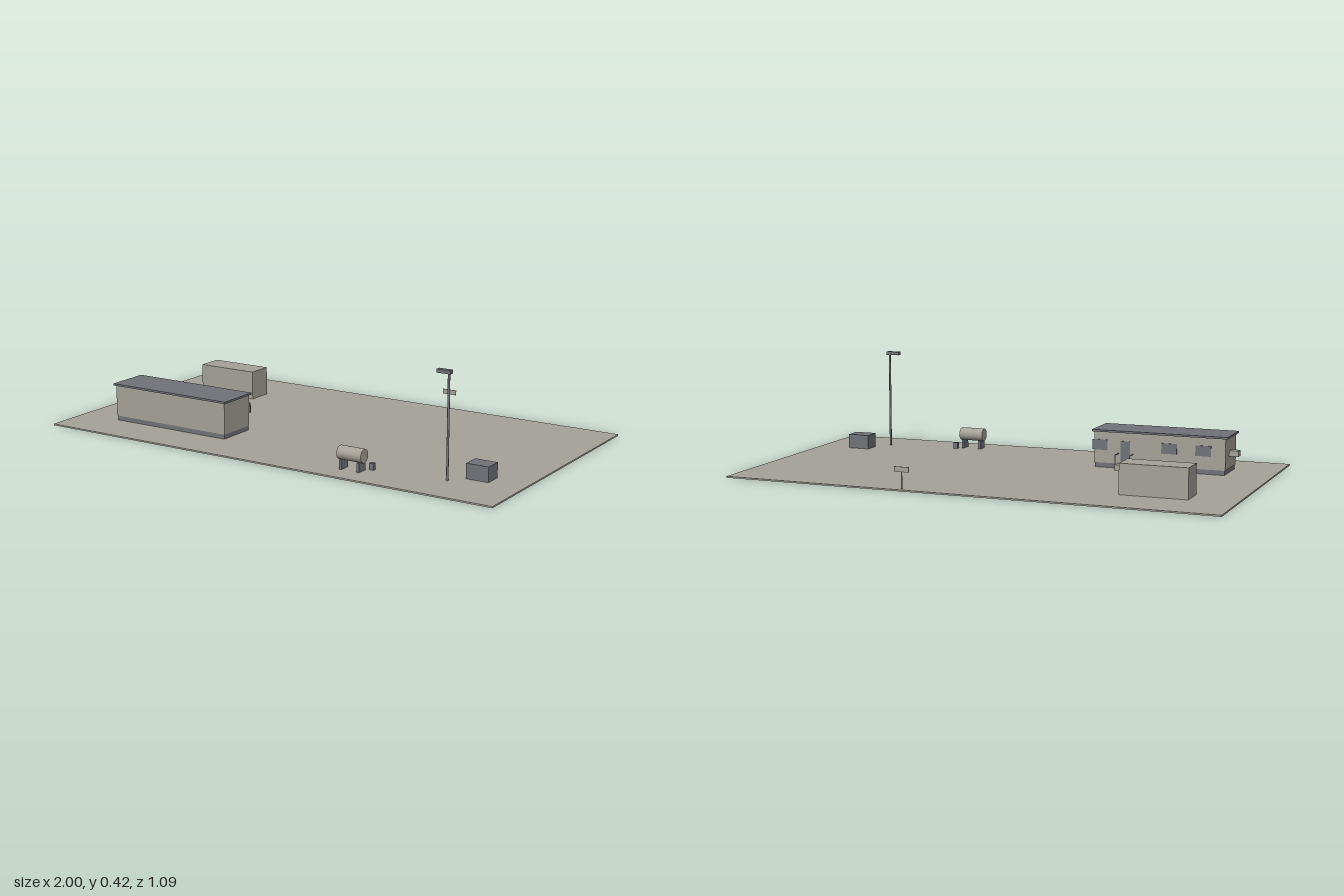
import * as THREE from 'three';

export function createModel() {
  const site = new THREE.Group();
  site.name = 'siteCompound';

  const tan = new THREE.MeshStandardMaterial({ color: 0xa6a298 });
  tan.name = 'warm grey';
  const slate = new THREE.MeshStandardMaterial({ color: 0x707378 });
  slate.name = 'slate grey';

  const group = (name) => {
    const g = new THREE.Group();
    g.name = name;
    site.add(g);
    return g;
  };
  const add = (parent, name, geometry, material, x, y, z) => {
    const mesh = new THREE.Mesh(geometry, material);
    mesh.name = name;
    mesh.position.set(x, y, z);
    parent.add(mesh);
    return mesh;
  };
  // Box given by its extents along each axis
  const box = (parent, name, material, [x0, x1], [y0, y1], [z0, z1]) =>
    add(parent, name, new THREE.BoxGeometry(x1 - x0, y1 - y0, z1 - z0), material,
      (x0 + x1) / 2, (y0 + y1) / 2, (z0 + z1) / 2);

  const G = 0.006; // top of the ground slab
  box(site, 'ground', tan, [-1, 1], [0, G], [-0.545, 0.545]);

  // Office trailer
  const office = group('officeTrailer');
  box(office, 'skirt', slate, [-0.817, -0.278], [G, 0.025], [0.195, 0.356]);
  box(office, 'body', tan, [-0.82, -0.275], [0.025, 0.152], [0.193, 0.359]);
  box(office, 'roof', slate, [-0.83, -0.267], [0.152, 0.16], [0.186, 0.365]);
  box(office, 'airConditioner', tan, [-0.858, -0.82], [0.074, 0.097], [0.252, 0.284]);
  box(office, 'door', slate, [-0.427, -0.388], [0.027, 0.118], [0.19, 0.1935]);
  for (const x of [-0.3, -0.59, -0.73])
    box(office, 'window', slate, [x - 0.032, x + 0.032], [0.078, 0.12], [0.19, 0.1935]);

  // Entrance landing with a handrail on each side
  const landing = group('entranceLanding');
  box(landing, 'deck', tan, [-0.443, -0.379], [G, 0.029], [0.142, 0.187]);
  for (const x of [-0.4415, -0.3805]) {
    box(landing, 'railPost', tan, [x - 0.0015, x + 0.0015], [0.029, 0.07], [0.142, 0.145]);
    box(landing, 'handrail', tan, [x - 0.0015, x + 0.0015], [0.067, 0.07], [0.142, 0.187]);
  }

  // Storage container
  box(site, 'storageContainer', tan, [-0.818, -0.55], [G, 0.125], [-0.328, -0.221]);

  // Generator
  box(site, 'generator', slate, [0.77, 0.862], [G, 0.065], [0.236, 0.308]);

  // Lamp post
  const lamp = group('lampPost');
  add(lamp, 'pole', new THREE.CylinderGeometry(0.0045, 0.0045, 0.399, 12), slate, 0.724, 0.2055, 0.364);
  box(lamp, 'lampHead', slate, [0.679, 0.735], [0.404, 0.418], [0.355, 0.375]);

  // Fuel tank on two saddles, with a small pump
  const fuel = group('fuelTank');
  const tank = add(fuel, 'tank', new THREE.CylinderGeometry(0.027, 0.027, 0.105, 32), tan, 0.362, 0.066, 0.433);
  tank.rotation.z = Math.PI / 2;
  for (const x of [0.324, 0.4])
    box(fuel, 'saddle', slate, [x - 0.005, x + 0.005], [G, 0.043], [0.411, 0.456]);
  box(fuel, 'pump', slate, [0.416, 0.434], [G, 0.032], [0.385, 0.401]);

  // Sign board at the rear edge
  const sign = group('sign');
  box(sign, 'signPost', tan, [0.244, 0.248], [G, 0.072], [-0.527, -0.523]);
  box(sign, 'signBoard', tan, [0.216, 0.277], [0.071, 0.091], [-0.527, -0.523]);

  return site;
}
